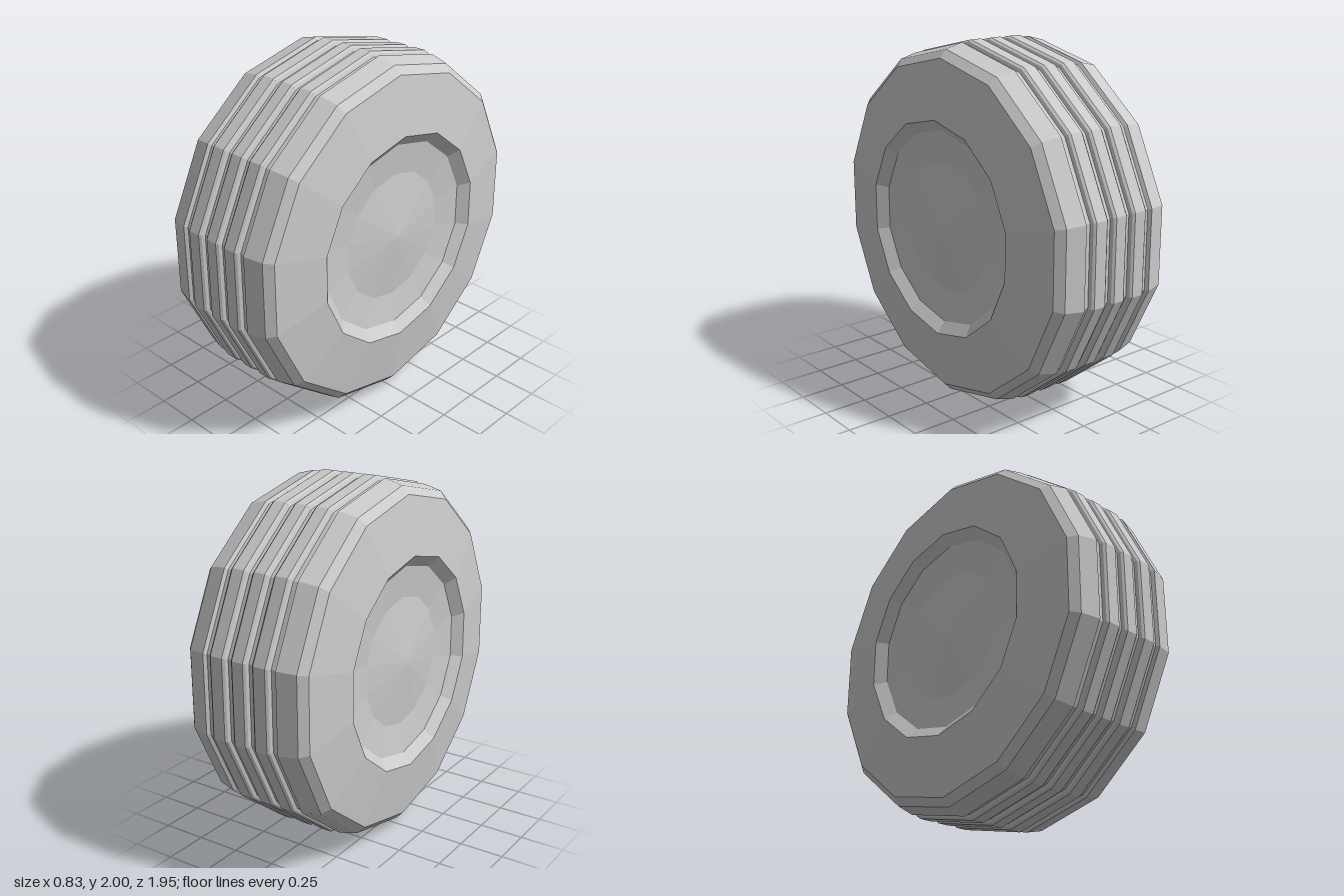
import * as THREE from 'three';

const SIDES = 14;

// Turns a half profile of [radius, x] points, mirrored across x = 0, about the x axis
function turn(half, name, material, closed) {
  const mirrored = half.map(([r, x]) => [r, -x]);
  const all = closed
    ? [...mirrored, ...half.slice().reverse()]
    : half.slice().reverse();
  const geometry = new THREE.LatheGeometry(all.map(([r, x]) => new THREE.Vector2(r, x)), SIDES);
  geometry.rotateZ(-Math.PI / 2);
  geometry.rotateX(-Math.PI / 2); // a corner points straight up
  const mesh = new THREE.Mesh(geometry, material);
  mesh.name = name;
  return mesh;
}

export function createModel() {
  const wheel = new THREE.Group();
  wheel.name = 'wheel';
  const material = new THREE.MeshStandardMaterial({ color: 0xcccccc, flatShading: true });

  // Tyre: sidewall, rounded shoulder, then tread ribs parted by grooves
  const tyre = [[0.6, 0.415], [0.92, 0.37], [0.963, 0.33], [0.99, 0.225]];
  for (const groove of [0.2, 0.065]) {
    if (groove < 0.1) tyre.push([0.99, groove + 0.02], [0.972, groove + 0.013]);
    else tyre.push([0.972, groove + 0.013]);
    tyre.push([0.972, groove - 0.013], [0.99, groove - 0.02], [1, groove - 0.032]);
    if (groove > 0.1) tyre.push([1, 0.097]);
  }
  wheel.add(turn(tyre, 'tyre', material, true));

  // Hub on each side: recessed lip, dished ring and shallow domed cap
  const hub = [[0.6, 0.415], [0.54, 0.365], [0.365, 0.345], [0, 0.38]];
  const leftHub = turn(hub.slice().reverse(), 'leftHub', material, false);
  const rightHub = leftHub.clone();
  rightHub.name = 'rightHub';
  rightHub.rotation.y = Math.PI;
  wheel.add(leftHub, rightHub);

  wheel.position.y = 1;
  const model = new THREE.Group();
  model.add(wheel);
  return model;
}
